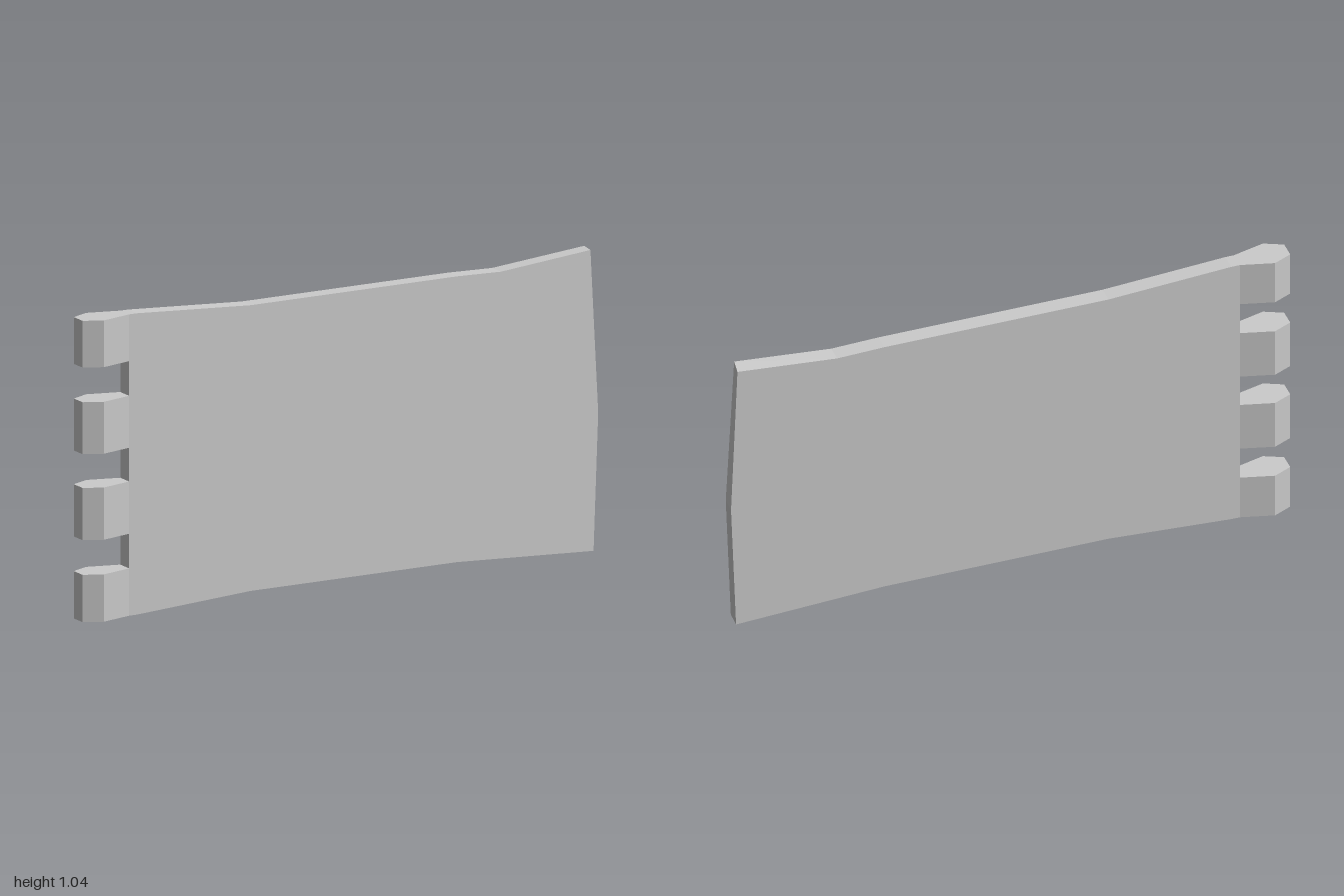
import * as THREE from 'three';

const material = new THREE.MeshStandardMaterial({ color: 0xcccccc, flatShading: true });

// Flat polygon extruded along z, starting at z = 0
function prism(points, depth) {
  const shape = new THREE.Shape(points.map(([x, y]) => new THREE.Vector2(x, y)));
  return new THREE.ExtrudeGeometry(shape, { depth, bevelEnabled: false });
}

function addMesh(group, name, geometry) {
  const mesh = new THREE.Mesh(geometry, material);
  mesh.name = name;
  group.add(mesh);
}

export function createModel() {
  const group = new THREE.Group();
  group.name = 'hingePlate';
  const bottom = 0.003, top = 1.047, hingeX = -0.82, half = 0.03;

  // Plate with a slightly waisted outline and a bowed free end
  const plate = prism([
    [hingeX, bottom], [-0.79, bottom], [-0.35, 0.03], [0.45, 0.03], [0.982, bottom],
    [1, 0.48], [0.977, top],
    [0.62, 1.015], [0.45, 1.02], [-0.35, 1.02], [-0.79, top], [hingeX, top],
  ], 2 * half);
  plate.translate(0, 0, -half);

  // The free end is cut back a little on the front face, most at the top
  const pos = plate.attributes.position;
  for (let i = 0; i < pos.count; i++) {
    if (pos.getX(i) > 0.9 && pos.getZ(i) > 0) {
      pos.setX(i, pos.getX(i) - 0.003 - 0.007 * Math.max(0, pos.getY(i) - 0.48) / 0.567);
    }
  }
  plate.computeVertexNormals();
  addMesh(group, 'plate', plate);

  // Four hinge knuckles: a swollen cross-section in x and z, extruded upwards
  const section = [
    [hingeX, -half], [hingeX, half], [-0.935, 0.06], [-1, half], [-1, -half], [-0.935, -0.06],
  ];
  const spans = [[bottom, 0.167], [0.287, 0.468], [0.585, 0.765], [0.885, top]];
  spans.forEach(([y0, y1], i) => {
    const knuckle = prism(section, y1 - y0);
    knuckle.rotateX(-Math.PI / 2);
    knuckle.translate(0, y0, 0);
    addMesh(group, `hingeKnuckle${i + 1}`, knuckle);
  });

  return group;
}
